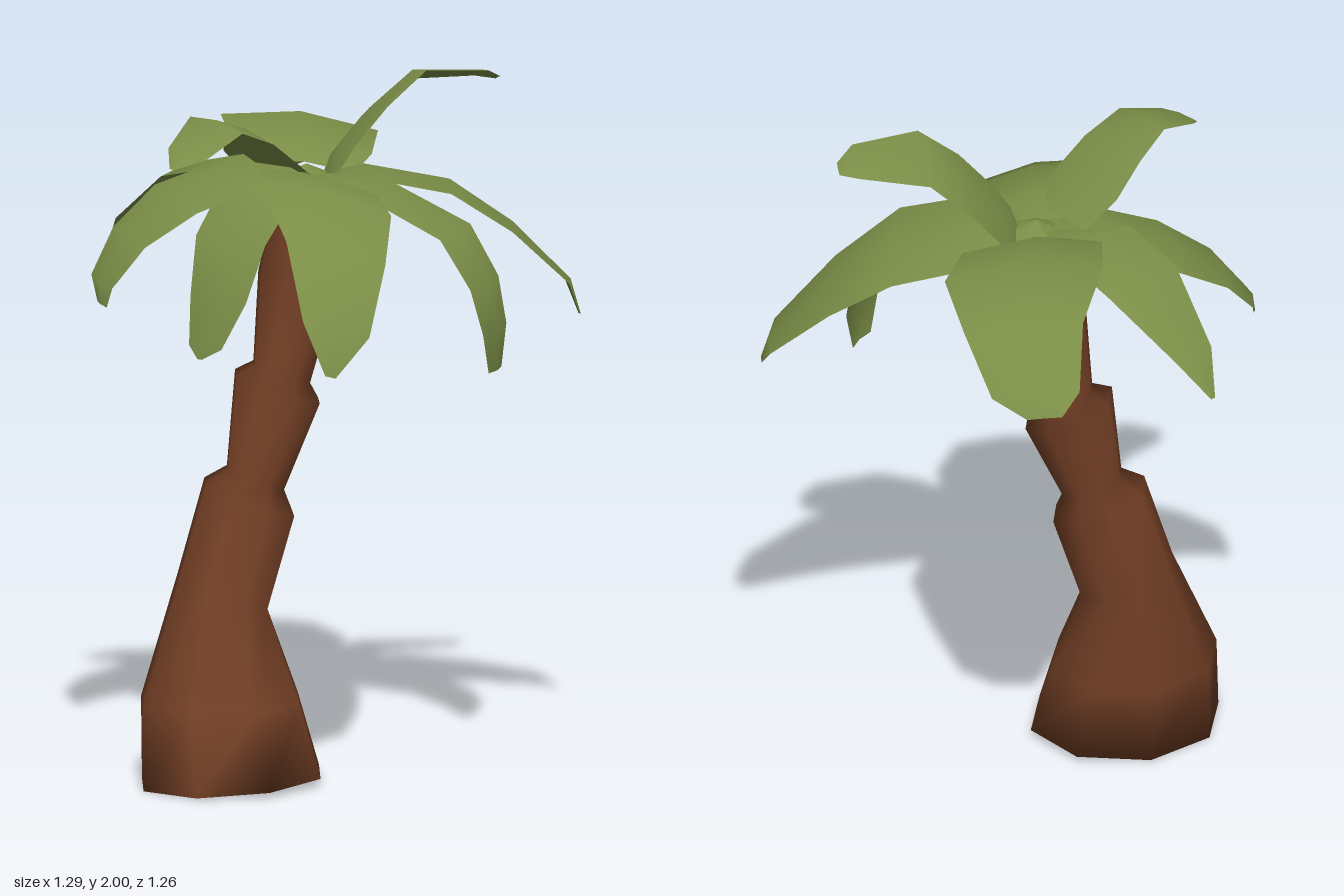
import * as THREE from 'three';

const bark = new THREE.MeshStandardMaterial({ color: 0x723f25 });
bark.name = 'barkBrown';
const leafGreen = new THREE.MeshStandardMaterial({ color: 0x7b8e47, side: THREE.DoubleSide });
leafGreen.name = 'leafGreen';

function meshFrom(name, positions, index, material) {
  const g = new THREE.BufferGeometry();
  g.setAttribute('position', new THREE.Float32BufferAttribute(positions, 3));
  g.setIndex(index);
  g.computeVertexNormals();
  const mesh = new THREE.Mesh(g, material);
  mesh.name = name;
  return mesh;
}

// Trunk rings: centre x, y, z, radius along x, radius along z, tilt
const SIDES = 8;
const rings = [
  [0.055, 0.01, 0.34, 0.257, 0.289, -0.035],
  [0.01, 0.23, 0.335, 0.229, 0.254, 0.0],
  [-0.04, 0.53, 0.265, 0.131, 0.136, 0.28],
  [-0.01, 0.79, 0.185, 0.132, 0.137, 0.28],
  [0.0, 0.845, 0.17, 0.084, 0.087, 0.28],
  [0.022, 1.1, 0.1, 0.124, 0.131, 0.26],
  [0.025, 1.14, 0.085, 0.084, 0.084, 0.26],
  [0.042, 1.39, 0.04, 0.114, 0.112, 0.22],
  [0.038, 1.51, 0.03, 0.09, 0.092, 0.15],
  [0.045, 1.665, 0.0, 0.132, 0.125, 0.05],
];

function ringPoints([cx, cy, cz, rx, rz, tilt]) {
  const pts = [];
  for (let j = 0; j < SIDES; j++) {
    const a = ((j + 0.5) * 2 * Math.PI) / SIDES;
    const dx = rx * Math.cos(a), dz = rz * Math.sin(a);
    pts.push(cx + dx, Math.max(0, cy + tilt * (dz - dx)), cz + dz);
  }
  return pts;
}

function makeTrunk() {
  const index = [];
  for (let i = 0; i < rings.length - 1; i++) {
    for (let j = 0; j < SIDES; j++) {
      const a = i * SIDES + j, b = i * SIDES + ((j + 1) % SIDES);
      index.push(a, a + SIDES, b, b, a + SIDES, b + SIDES);
    }
  }
  // end caps, softly shaded into the sides
  const last = (rings.length - 1) * SIDES;
  for (let j = 1; j < SIDES - 1; j++) {
    index.push(0, j, j + 1, last, last + j + 1, last + j);
  }
  return meshFrom('trunk', rings.flatMap(ringPoints), index, bark);
}

// Each frond: sideways direction and spine rows of x, y, z, half width
const fronds = {
  backLeftBroadFrond: {
    side: [0.7, -0.12, -0.7],
    rows: [[-0.02, 1.71, -0.06, 0.15], [-0.085, 1.755, -0.135, 0.2], [-0.235, 1.785, -0.3, 0.225],
      [-0.41, 1.735, -0.455, 0.17], [-0.562, 1.605, -0.542, 0.125], [-0.61, 1.55, -0.55, 0.05]],
  },
  backRightFrond: {
    side: [0.7, 0.1, 0.7],
    rows: [[0.06, 1.69, -0.04, 0.1], [0.145, 1.71, -0.13, 0.19], [0.305, 1.66, -0.31, 0.2],
      [0.42, 1.535, -0.45, 0.155], [0.53, 1.37, -0.575, 0.09], [0.575, 1.28, -0.57, 0.03]],
  },
  rightFrond: {
    side: [0.35, 0, 0.9],
    rows: [[0.08, 1.7, -0.02, 0.07], [0.25, 1.68, -0.07, 0.12], [0.455, 1.565, -0.175, 0.13],
      [0.57, 1.43, -0.17, 0.12], [0.612, 1.3, -0.165, 0.1], [0.605, 1.18, -0.17, 0.055]],
  },
  frontRightFrond: {
    side: [0.7, -0.25, -0.7],
    rows: [[0.08, 1.7, 0.02, 0.1], [0.18, 1.72, 0.1, 0.17], [0.31, 1.7, 0.22, 0.19],
      [0.485, 1.59, 0.385, 0.145], [0.57, 1.39, 0.485, 0.097], [0.585, 1.26, 0.53, 0.015]],
  },
  frontRaisedFrond: {
    side: [1, -0.1, 0.08],
    rows: [[0.04, 1.72, 0.07, 0.13], [0.037, 1.79, 0.17, 0.147], [0.045, 1.865, 0.28, 0.13],
      [0.06, 1.91, 0.41, 0.105], [0.085, 1.85, 0.57, 0.075], [0.08, 1.81, 0.63, 0.008]],
  },
  frontDroopingFrond: {
    side: [1, 0, 0],
    rows: [[0.04, 1.7, 0.05, 0.1], [0.035, 1.69, 0.2, 0.135], [0.038, 1.56, 0.33, 0.128],
      [0.052, 1.4, 0.4, 0.103], [0.04, 1.265, 0.44, 0.06], [0.03, 1.23, 0.45, 0.008]],
  },
  frontLeftFrond: {
    side: [0.85, -0.05, 0.5],
    rows: [[0.02, 1.7, 0.03, 0.08], [-0.1, 1.71, 0.14, 0.17], [-0.2, 1.65, 0.29, 0.18],
      [-0.255, 1.55, 0.43, 0.135], [-0.275, 1.43, 0.525, 0.09], [-0.245, 1.37, 0.555, 0.04]],
  },
  leftFrond: {
    side: [0.05, 0, 1],
    rows: [[0, 1.7, 0.02, 0.09], [-0.15, 1.73, 0.05, 0.135], [-0.35, 1.68, 0.05, 0.135],
      [-0.56, 1.52, 0.06, 0.07], [-0.64, 1.41, 0.06, 0.008]],
  },
  backRaisedFrond: {
    side: [0.8, 0.28, 0.5],
    rows: [[0.1, 1.7, -0.03, 0.08], [0.085, 1.76, -0.095, 0.13], [0.135, 1.87, -0.18, 0.13],
      [0.2, 1.97, -0.285, 0.115], [0.32, 1.965, -0.44, 0.07], [0.345, 1.945, -0.485, 0.025]],
  },
};

// Slightly arched blade, three points across
function makeFrond(name, { side, rows }) {
  const s = new THREE.Vector3(...side).normalize();
  const spine = rows.map(([x, y, z]) => new THREE.Vector3(x, y, z));
  const positions = [], index = [];
  const flip = s.clone().cross(spine[2].clone().sub(spine[0])).y < 0;
  rows.forEach(([, , , w], i) => {
    const along = spine[Math.min(i + 1, rows.length - 1)].clone().sub(spine[Math.max(i - 1, 0)]);
    const up = s.clone().cross(along).normalize();
    if (flip) up.negate();
    for (const k of [-1, 0, 1]) {
      const p = spine[i].clone().addScaledVector(s, k * w).addScaledVector(up, w * (k ? -0.07 : 0.07));
      positions.push(p.x, p.y, p.z);
    }
    if (i === 0) return;
    for (const a of [3 * i - 3, 3 * i - 2]) index.push(a, a + 1, a + 3, a + 1, a + 4, a + 3);
  });
  // keep the upper surface as the front face
  if (flip) index.reverse();
  return meshFrom(name, positions, index, leafGreen);
}

export function createModel() {
  const model = new THREE.Group();
  model.name = 'palmTree';
  model.add(makeTrunk());
  const crown = new THREE.Group();
  crown.name = 'crown';
  for (const [name, frond] of Object.entries(fronds)) crown.add(makeFrond(name, frond));
  // leaf bases closing the heart of the crown
  const heart = new THREE.Mesh(new THREE.ConeGeometry(0.14, 0.06, 7), leafGreen);
  heart.name = 'crownHeart';
  heart.position.set(0.045, 1.7, 0);
  crown.add(heart);
  model.add(crown);
  return model;
}
